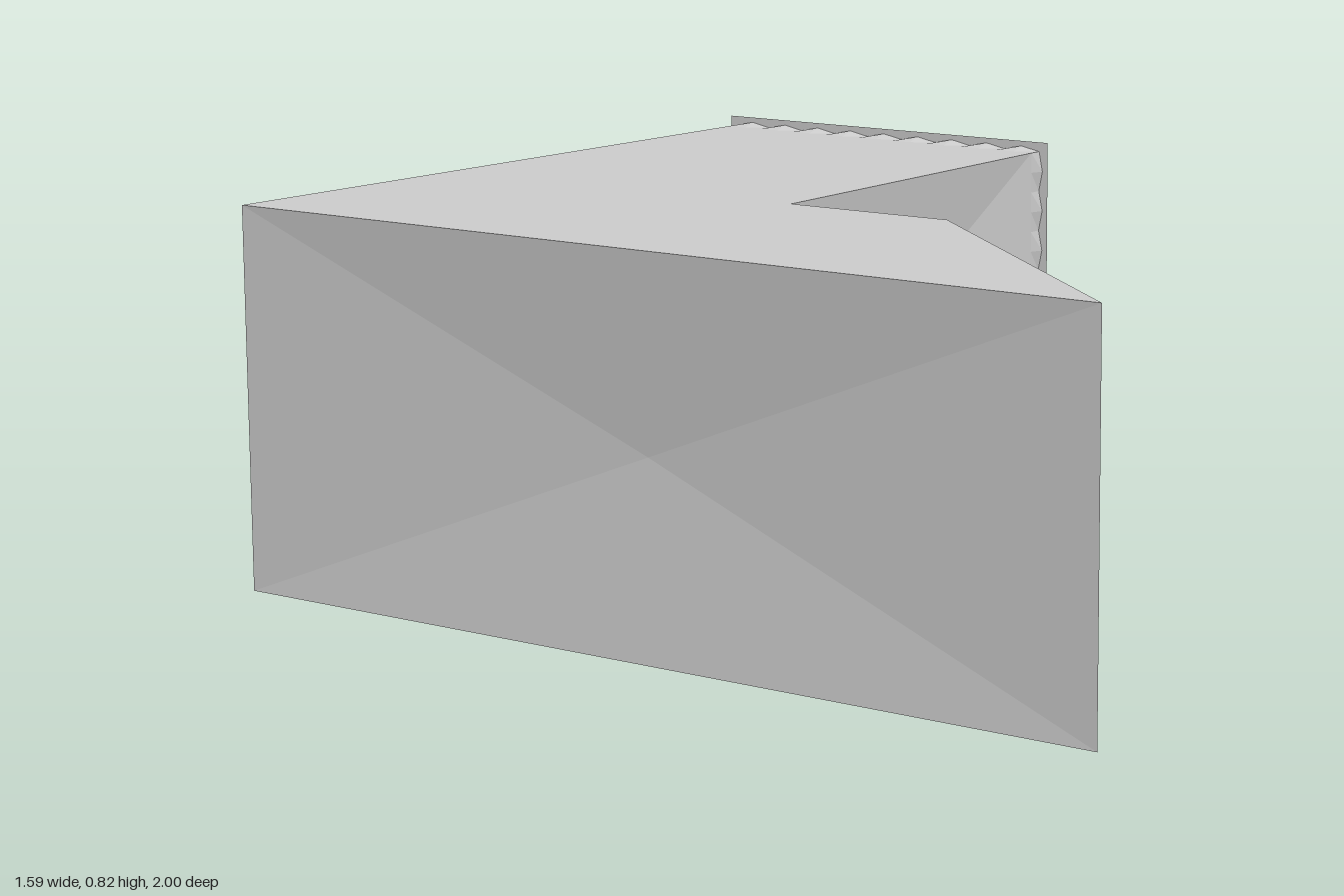
import * as THREE from 'three';

const Y0 = 0.025, Y1 = 0.8, YM = 0.41;   // duct floor, ceiling and mid height
const NECK = 0.76, END = 0.79;           // start and end of the crimped collar
const ZB = -0.985, ZF = -0.162;          // back and front of the square end

const sheet = new THREE.MeshStandardMaterial({ color: 0xcccccc, flatShading: true, side: THREE.DoubleSide });

function meshFrom(name, positions, index) {
  const geo = new THREE.BufferGeometry();
  geo.setAttribute('position', new THREE.Float32BufferAttribute(positions, 3));
  geo.setIndex(index);
  geo.computeVertexNormals();
  const mesh = new THREE.Mesh(geo, sheet);
  mesh.name = name;
  return mesh;
}

// Upright wall from plan point a to b, creased to an apex pushed into the duct
function creasedWall(name, a, b, apex) {
  return meshFrom(name, [
    a[0], Y0, a[1], b[0], Y0, b[1], b[0], Y1, b[1], a[0], Y1, a[1],
    apex[0], YM, apex[1],
  ], [0, 1, 4, 1, 2, 4, 2, 3, 4, 3, 0, 4]);
}

// Floor or ceiling: two quads mitred along the elbow diagonal
function elbowPlate(name, plan, y, up) {
  const pos = plan.flatMap(([x, z]) => [x, y, z]);
  const index = [0, 3, 2, 0, 2, 1, 0, 5, 4, 0, 4, 3];
  return meshFrom(name, pos, up ? index : index.reverse());
}

// Collar whose outer edge ripples in and out around the square end
function crimpedCollar() {
  const teeth = 9, steps = teeth * 2, depth = 0.009;
  const corners = [[Y0, ZB], [Y0, ZF], [Y1, ZF], [Y1, ZB]];
  const normals = [[-1, 0], [0, 1], [1, 0], [0, -1]];
  const pos = [], index = [];
  corners.forEach((c, side) => {
    const d = corners[(side + 1) % 4], n = normals[side], base = pos.length / 3;
    for (let i = 0; i <= steps; i++) {
      const t = i / steps, out = i % 2 ? depth : 0;
      const y = c[0] + (d[0] - c[0]) * t, z = c[1] + (d[1] - c[1]) * t;
      pos.push(NECK, y, z, END, y + n[0] * out, z + n[1] * out);
      if (i < steps) {
        const k = base + i * 2;
        index.push(k, k + 2, k + 1, k + 1, k + 2, k + 3);
      }
    }
  });
  return meshFrom('crimpedCollar', pos, index);
}

// Thin square ring around the end opening
function endFlange() {
  const rect = (Path, y0, y1, z0, z1) => {
    const p = new Path();
    p.moveTo(-z0, y0);
    p.lineTo(-z1, y0);
    p.lineTo(-z1, y1);
    p.lineTo(-z0, y1);
    p.closePath();
    return p;
  };
  const shape = rect(THREE.Shape, 0, 0.82, -1, -0.14);
  shape.holes.push(rect(THREE.Path, Y0, Y1, ZB, ZF));
  const geo = new THREE.ShapeGeometry(shape);
  geo.rotateY(Math.PI / 2);
  geo.translate(END, 0, 0);
  const mesh = new THREE.Mesh(geo, sheet);
  mesh.name = 'endFlange';
  return mesh;
}

export function createModel() {
  const group = new THREE.Group();
  group.name = 'ductElbow';

  // Plan outline: outer corner, square end, inner corner, slanted mouth
  const plan = [[-0.795, ZB], [NECK, ZB], [NECK, ZF], [-0.16, -0.12], [-0.16, 0.25], [-0.795, 1]];
  const [outer, endBack, endFront, inner, mouthIn, mouthOut] = plan;

  group.add(
    elbowPlate('ceiling', plan, Y1, true),
    elbowPlate('floor', plan, Y0, false),
    creasedWall('backWall', endBack, outer, [0.12, -0.915]),
    creasedWall('outerWall', outer, mouthOut, [-0.762, 0.0]),
    creasedWall('innerSideWall', mouthIn, inner, [-0.185, 0.065]),
    creasedWall('innerFrontWall', inner, endFront, [0.135, -0.188]),
    crimpedCollar(),
    endFlange(),
  );
  return group;
}
